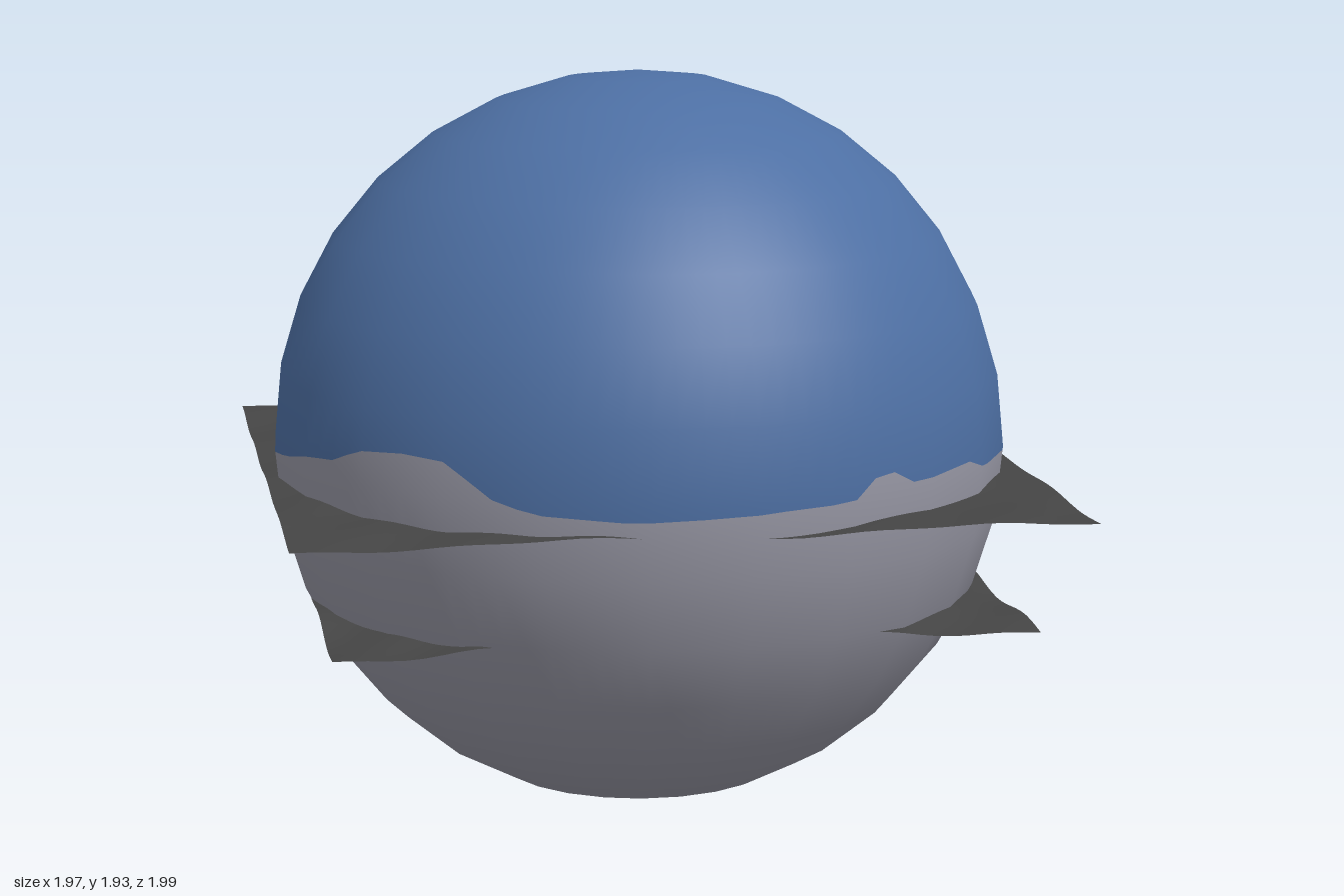
import * as THREE from 'three';

const R = 0.963, SEG = 23, SUB = 4;
const centre = new THREE.Vector3(0.004, 0.967, 0.037);

// Height of the ragged colour border around the ball: [degrees from front towards +x, y]
const border = [
  [-180, 0.95], [-150, 0.965], [-120, 0.96], [-95, 0.955], [-80, 0.97], [-70, 1.0], [-62, 1.01],
  [-56, 1.05], [-47, 1.06], [-39, 1.055], [-31, 0.97], [-25, 0.945], [-12, 0.93], [0, 0.935],
  [12, 0.945], [23, 0.95], [27, 1.0], [31, 1.01], [35, 0.975], [43, 0.98], [51, 0.985],
  [56, 0.957], [70, 0.957], [80, 0.965], [92, 0.98], [104, 0.975], [112, 0.995], [115, 0.995],
  [118, 0.97], [128, 0.955], [140, 0.955], [165, 0.95], [180, 0.95],
];
function borderY(deg) {
  for (let i = 1; i < border.length; i++) {
    const [a, ya] = border[i - 1], [b, yb] = border[i];
    if (deg <= b) return ya + (yb - ya) * (deg - a) / (b - a) - centre.y;
  }
  return border[0][1] - centre.y;
}

// Part of a faceted ball between the border and one pole (sign +1 top, -1 bottom)
function ballHalf(sign) {
  const step = Math.PI / 16, cols = SEG * SUB, rows = 10;
  const pos = [], nor = [], idx = [];
  for (let j = 0; j < rows; j++) {
    for (let i = 0; i <= cols; i++) {
      const deg = -180 + 360 * i / cols, t = deg * Math.PI / 180;
      const by = borderY(deg);
      // the first two rows follow the border and, where it lies beyond, the equator
      let y = by;
      if (j === 1) y = sign > 0 ? Math.max(0, by) : Math.min(0, by);
      if (j > 1) y = sign * R * Math.sin((j - 1) * step);
      let r = R * Math.cos((j - 1) * step);
      if (j < 2) r = R * (1 - (1 - Math.cos(step)) * Math.abs(y) / (R * Math.sin(step)));
      if (j === rows - 1) r = 0;
      // flat sides between the corner columns
      const off = ((i % SUB) / SUB - 0.5) * 2 * Math.PI / SEG;
      r *= Math.cos(Math.PI / SEG) / Math.cos(off);
      const x = r * Math.sin(t), z = r * Math.cos(t);
      pos.push(x, y, z);
      const n = new THREE.Vector3(x, y, z).normalize();
      nor.push(n.x, n.y, n.z);
      if (j < rows - 1 && i < cols) {
        const a = j * (cols + 1) + i, b = a + 1, c = a + cols + 1, d = c + 1;
        if (sign > 0) idx.push(a, b, d, a, d, c);
        else idx.push(a, d, b, a, c, d);
      }
    }
  }
  const g = new THREE.BufferGeometry();
  g.setAttribute('position', new THREE.Float32BufferAttribute(pos, 3));
  g.setAttribute('normal', new THREE.Float32BufferAttribute(nor, 3));
  g.setIndex(idx);
  return g;
}

// Thin square sheet with gentle ripples
function rippledSheet(size, amp, phase) {
  const g = new THREE.PlaneGeometry(size, size, 40, 40).rotateX(-Math.PI / 2);
  const p = g.attributes.position;
  for (let i = 0; i < p.count; i++) {
    const x = p.getX(i), z = p.getZ(i);
    p.setY(i, amp * (0.5 * Math.sin(7 * x + 3 * z + phase) + 0.35 * Math.sin(11 * z - 5 * x + 2 * phase)
      + 0.25 * Math.sin(19 * x + 13 * z)));
  }
  g.computeVertexNormals();
  return g;
}

export function createModel() {
  const group = new THREE.Group();
  const blue = new THREE.MeshStandardMaterial({ color: 0x4d6fa3 });
  blue.name = 'blue';
  const grey = new THREE.MeshStandardMaterial({ color: 0x9696a3 });
  grey.name = 'paleGrey';
  const dark = new THREE.MeshStandardMaterial({ color: 0x454545, side: THREE.DoubleSide });
  dark.name = 'darkGrey';

  function add(name, geometry, material, x, y, z) {
    const mesh = new THREE.Mesh(geometry, material);
    mesh.name = name;
    mesh.position.set(x, y, z);
    group.add(mesh);
  }
  // Two-tone ball
  add('upperBall', ballHalf(1), blue, ...centre);
  add('lowerBall', ballHalf(-1), grey, ...centre);
  // Sheets around the ball
  add('upperSheet', rippledSheet(1.965, 0.01, 0.5), dark, 0, 0.89, -0.005);
  add('lowerSheet', rippledSheet(1.77, 0.02, 2.1), dark, 0.015, 0.58, -0.115);
  return group;
}
